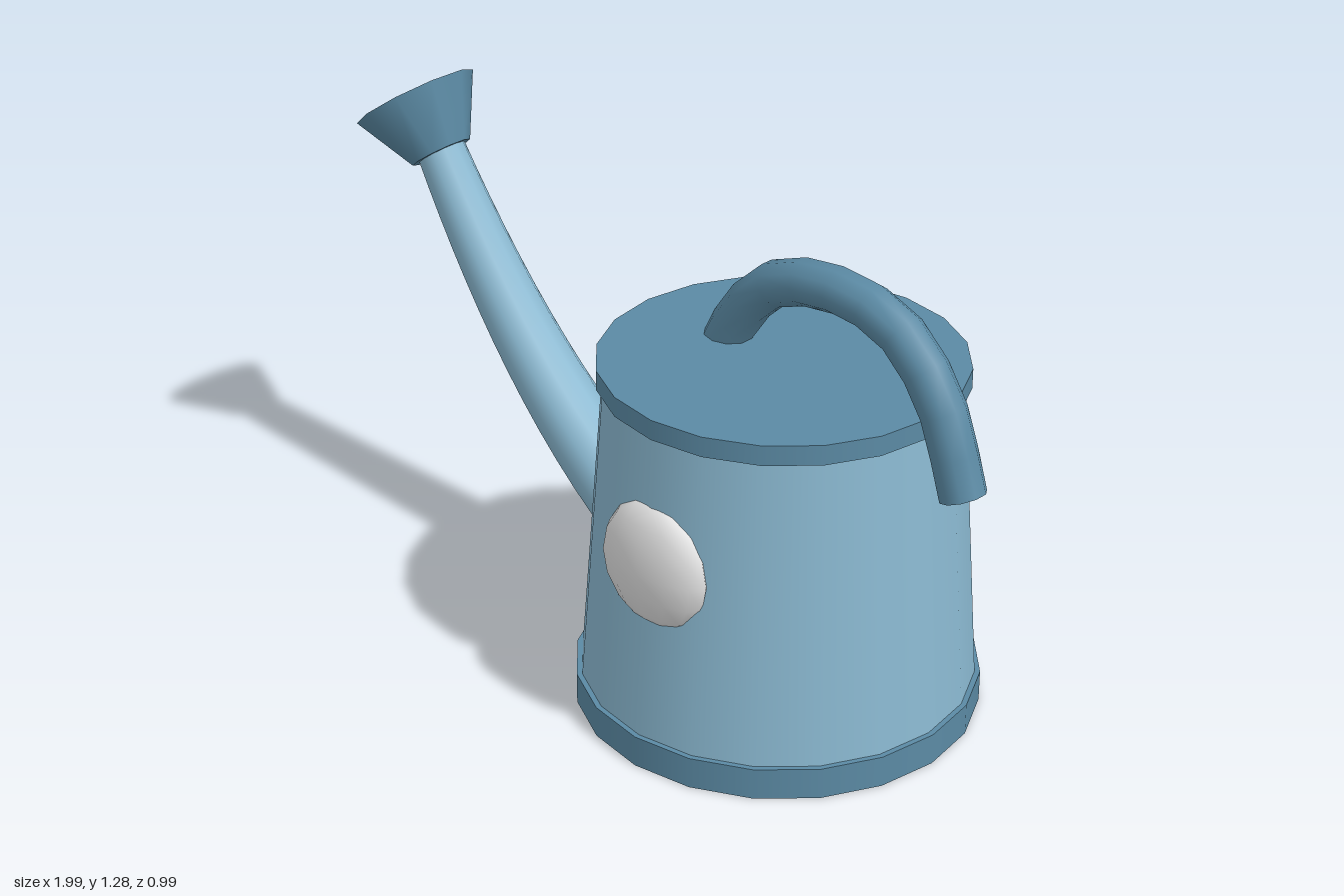
import * as THREE from 'three';

const paint = (name, color) => {
  const m = new THREE.MeshStandardMaterial({ color });
  m.name = name;
  return m;
};

// Tube along a curve whose radius runs from r0 to r1
function taperedTube(curve, segments, r0, r1, sides) {
  const g = new THREE.TubeGeometry(curve, segments, 1, sides);
  const pos = g.attributes.position;
  const v = new THREE.Vector3();
  for (let i = 0; i < pos.count; i++) {
    const t = Math.floor(i / (sides + 1)) / segments;
    const c = curve.getPointAt(t);
    v.fromBufferAttribute(pos, i).sub(c).multiplyScalar(r0 + (r1 - r0) * t).add(c);
    pos.setXYZ(i, v.x, v.y, v.z);
  }
  return g;
}

export function createModel() {
  const model = new THREE.Group();
  const lightBlue = paint('light blue', 0x8ab8d0);
  const darkBlue = paint('dark blue', 0x5b8aa4);
  const white = paint('off white', 0xe0e0e0);
  const cx = 0.395;

  const add = (name, geometry, material, x = 0, y = 0, z = 0) => {
    const mesh = new THREE.Mesh(geometry, material);
    mesh.name = name;
    mesh.position.set(x, y, z);
    model.add(mesh);
    return mesh;
  };

  // Tapered can with a base ring and a lid
  add('body', new THREE.CylinderGeometry(0.425, 0.483, 0.8, 20), lightBlue, cx, 0.46);
  add('baseRim', new THREE.CylinderGeometry(0.495, 0.495, 0.08, 20), darkBlue, cx, 0.04);
  add('lid', new THREE.CylinderGeometry(0.44, 0.44, 0.05, 20), darkBlue, cx, 0.875);

  // Curved spout, narrowing towards the rose
  const spoutPath = new THREE.QuadraticBezierCurve3(
    new THREE.Vector3(0.02, 0.25, 0),
    new THREE.Vector3(-0.42, 0.47, 0),
    new THREE.Vector3(-0.785, 1.08, 0)
  );
  add('spout', taperedTube(spoutPath, 14, 0.11, 0.063, 12), lightBlue);

  // Flared rose at the spout tip
  const rose = add('rose', new THREE.CylinderGeometry(0.162, 0.08, 0.157, 10), darkBlue, -0.8265, 1.1275);
  rose.rotation.z = 0.64;

  // Arched handle from the lid over the back of the can
  const handlePath = new THREE.CatmullRomCurve3([
    [0.19, 0.84], [0.235, 0.93], [0.36, 1.075], [0.56, 1.125],
    [0.74, 1.085], [0.865, 0.95], [0.942, 0.742]
  ].map(([x, y]) => new THREE.Vector3(x, y, 0)));
  add('handle', new THREE.TubeGeometry(handlePath, 11, 0.056, 10), darkBlue);
  const cap = add('handleEnd', new THREE.CircleGeometry(0.056, 10), darkBlue, 0.942, 0.742);
  cap.lookAt(cap.position.clone().add(handlePath.getTangentAt(1)));

  // Domed badge on the front
  add('badge', new THREE.SphereGeometry(0.16, 12, 8), white, cx, 0.52, 0.425).scale.z = 0.4;

  return model;
}
